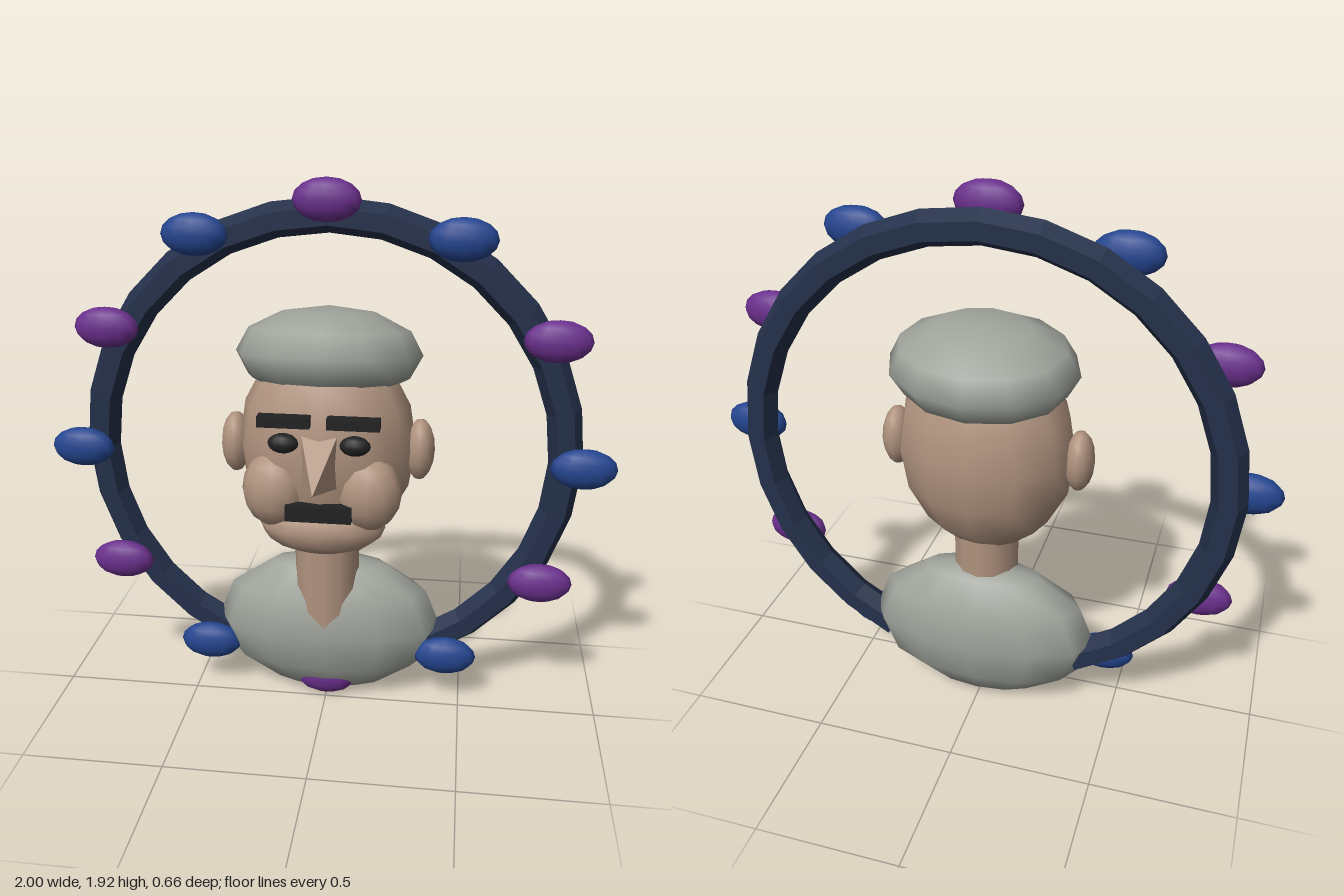
import * as THREE from 'three';

export function createModel() {
  const group = new THREE.Group();
  const mat = (name, color) => {
    const m = new THREE.MeshStandardMaterial({ color });
    m.name = name;
    return m;
  };
  const skin = mat('skin', 0xb0937f);
  const cloth = mat('greyCloth', 0x9ea29a);
  const dark = mat('black', 0x222222);
  const frame = mat('navyFrame', 0x24304a);
  const blue = mat('blueGem', 0x24458f);
  const purple = mat('purpleGem', 0x6a2f8c);

  const add = (name, geo, material, x = 0, y = 0, z = 0) => {
    const mesh = new THREE.Mesh(geo, material);
    mesh.name = name;
    mesh.position.set(x, y, z);
    group.add(mesh);
    return mesh;
  };
  // Ellipsoid with its three radii built into the geometry
  const ball = (name, material, [x, y, z], [rx, ry, rz], ws = 12, hs = 8) =>
    add(name, new THREE.SphereGeometry(1, ws, hs).scale(rx, ry, rz), material, x, y, z);
  const faceted = (geo) => {
    const g = geo.toNonIndexed();
    g.computeVertexNormals();
    return g;
  };

  // Six-sided ring, open at the bottom behind the shoulders
  const gap = THREE.MathUtils.degToRad(25);
  const ring = new THREE.TorusGeometry(0.83, 0.06, 6, 24, Math.PI * 2 - 2 * gap);
  ring.rotateZ(-Math.PI / 2 + gap);
  const ringMesh = add('ring', faceted(ring), frame, 0, 0.97, -0.1);
  ringMesh.name = 'ring';
  // Caps closing the two ring ends
  for (const s of [-1, 1]) {
    const cap = new THREE.CircleGeometry(0.06, 6);
    cap.rotateY(s * Math.PI / 2).translate(0.83, 0, 0);
    // circle lies in the radial plane of the ring end
    const pos = cap.attributes.position;
    for (let i = 0; i < pos.count; i++) {
      const a = ((i - 1) / 6) * Math.PI * 2 * s;
      if (i === 0) pos.setXYZ(i, 0.83, 0, 0);
      else pos.setXYZ(i, 0.83 + 0.06 * Math.cos(a), 0, 0.06 * Math.sin(a));
    }
    cap.rotateZ(-Math.PI / 2 + s * gap);
    cap.computeVertexNormals();
    add('ringEnd', cap, frame, 0, 0.97, -0.1);
  }

  // Twelve gems in alternating colours
  for (let i = 0; i < 12; i++) {
    const a = (i / 12) * Math.PI * 2;
    ball(i % 2 ? 'blueGem' : 'purpleGem', i % 2 ? blue : purple,
      [Math.sin(a) * 0.885, 0.97 + Math.cos(a) * 0.885, -0.03], [0.114, 0.072, 0.048]);
  }

  // Bust, neck and head
  ball('torso', cloth, [0, 0.29, -0.1], [0.42, 0.28, 0.175], 12, 6);
  add('neck', new THREE.CylinderGeometry(0.117, 0.117, 0.42, 12), skin, 0, 0.51, -0.05);
  ball('head', skin, [0, 1.02, -0.05], [0.312, 0.39, 0.24], 12, 8);
  ball('chin', skin, [0, 0.765, 0.08], [0.22, 0.105, 0.115]);

  // Cap, tilted back
  ball('cap', cloth, [0, 1.335, -0.085], [0.325, 0.162, 0.25], 12, 6).rotation.x = -0.15;

  // Mirrored face parts
  for (const s of [-1, 1]) {
    ball('ear', skin, [s * 0.325, 1.01, -0.05], [0.052, 0.11, 0.07]);
    ball('cheek', skin, [s * 0.16, 0.9, 0.105], [0.115, 0.135, 0.095]);
    ball('eye', dark, [s * 0.12, 1.09, 0.17], [0.052, 0.034, 0.032]);
    add('eyebrow', new THREE.BoxGeometry(0.175, 0.036, 0.045), dark, s * 0.115, 1.17, 0.178);
  }
  add('moustache', new THREE.BoxGeometry(0.224, 0.055, 0.05), dark, 0, 0.85, 0.18);

  // Nose: square pyramid with its tip drawn downwards
  const nose = new THREE.ConeGeometry(0.092, 0.18, 4);
  nose.rotateY(Math.PI / 4).rotateX(Math.PI / 2).scale(1, 1.54, 1);
  const p = nose.attributes.position;
  for (let i = 0; i < p.count; i++) if (p.getZ(i) > 0) p.setY(i, -0.06);
  add('nose', faceted(nose), skin, 0, 1.03, 0.24);

  return group;
}
